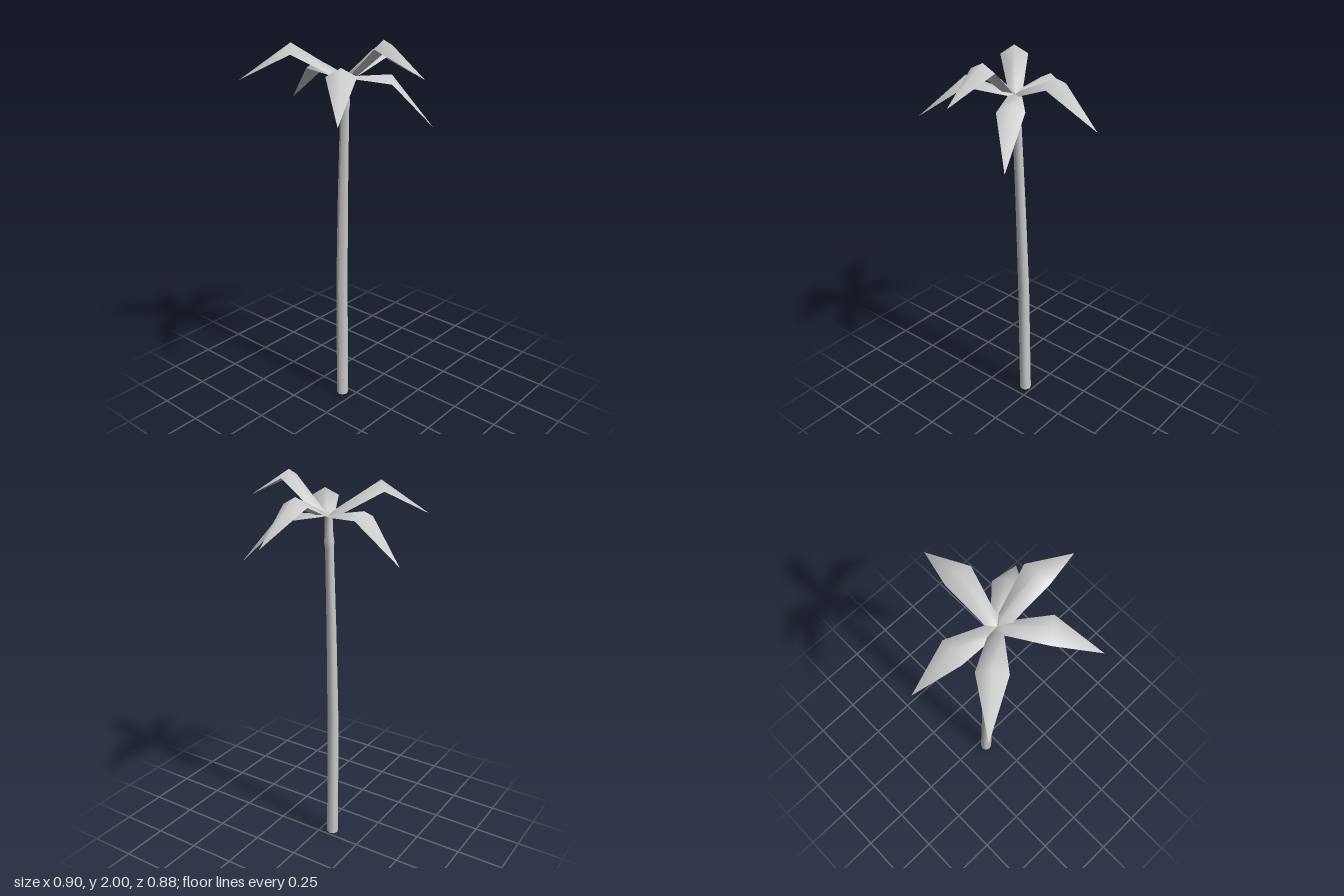
import * as THREE from 'three';

const material = new THREE.MeshStandardMaterial({ color: 0xcccccc });
const leafMaterial = new THREE.MeshStandardMaterial({ color: 0xcccccc, side: THREE.DoubleSide });
const crown = new THREE.Vector3(-0.015, 1.8, 0.062);

// Gently leaning trunk: rings of [y, x, z, radius]
function createTrunk() {
  const rings = [
    [0, -0.067, 0.043, 0.032],
    [0.7, -0.059, 0.05, 0.03],
    [1.2, -0.042, 0.056, 0.026],
    [1.64, -0.023, 0.061, 0.022],
    [1.67, -0.021, 0.062, 0.026],
    [1.71, -0.019, 0.062, 0.022],
    [1.8, -0.016, 0.062, 0.02],
  ];
  const geometry = new THREE.CylinderGeometry(1, 1, 1, 8, rings.length - 1);
  const pos = geometry.attributes.position;
  for (let i = 0; i < pos.count; i++) {
    const [y, x, z, r] = rings[Math.round((pos.getY(i) + 0.5) * (rings.length - 1))];
    pos.setXYZ(i, x + pos.getX(i) * r, y, z + pos.getZ(i) * r);
  }
  geometry.computeVertexNormals();
  const trunk = new THREE.Mesh(geometry, material);
  trunk.name = 'trunk';
  return trunk;
}

// Folded frond: root point, narrow neck, wide ridged bend, pointed tip
function createFrond({ a, b, tip, ridgeY, edgeY }) {
  const left = new THREE.Vector3(a[0], edgeY, a[1]);
  const right = new THREE.Vector3(b[0], edgeY, b[1]);
  const ridge = left.clone().add(right).multiplyScalar(0.5).setY(ridgeY);
  const dir = ridge.clone().sub(crown).setY(0).normalize();
  const side = new THREE.Vector3(-dir.z, 0, dir.x);
  if (side.dot(right.clone().sub(left)) < 0) side.negate();
  const neck = crown.clone().addScaledVector(dir, 0.036);
  const neckRidge = neck.clone().setY(1.8 + (ridgeY - 1.8) * 0.16 + 0.004);
  const points = [
    crown,
    neck.clone().addScaledVector(side, -0.034), neckRidge, neck.clone().addScaledVector(side, 0.034),
    left, ridge, right,
    new THREE.Vector3(...tip),
  ];
  const geometry = new THREE.BufferGeometry().setFromPoints(points);
  geometry.setIndex([
    0, 2, 1, 0, 3, 2,
    1, 2, 5, 1, 5, 4, 2, 3, 6, 2, 6, 5,
    4, 5, 7, 5, 6, 7,
  ]);
  geometry.computeVertexNormals();
  return new THREE.Mesh(geometry, leafMaterial);
}

export function createModel() {
  const model = new THREE.Group();
  model.name = 'palmTree';
  model.add(createTrunk());

  // Fronds: bend edges a and b as [x, z], clockwise seen from above
  const fronds = {
    backFrond: { a: [-0.066, -0.195], b: [0.073, -0.185], tip: [0.025, 1.74, -0.44], ridgeY: 1.93, edgeY: 1.89 },
    backLeftFrond: { a: [0.125, -0.112], b: [0.21, -0.01], tip: [0.34, 1.57, -0.17], ridgeY: 1.82, edgeY: 1.785 },
    leftFrond: { a: [0.21, -0.01], b: [0.215, 0.13], tip: [0.448, 1.85, 0.062], ridgeY: 2.0, edgeY: 1.965 },
    frontLeftFrond: { a: [0.18, 0.205], b: [0.07, 0.295], tip: [0.27, 1.68, 0.438], ridgeY: 1.89, edgeY: 1.85 },
    frontRightFrond: { a: [-0.16, 0.283], b: [-0.253, 0.18], tip: [-0.39, 1.79, 0.402], ridgeY: 1.965, edgeY: 1.92 },
    rightFrond: { a: [-0.245, 0.092], b: [-0.225, -0.045], tip: [-0.45, 1.63, -0.015], ridgeY: 1.855, edgeY: 1.82 },
  };
  const foliage = new THREE.Group();
  foliage.name = 'foliage';
  for (const [name, spec] of Object.entries(fronds)) {
    const frond = createFrond(spec);
    // wind the top faces upwards so both sides light correctly
    if (frond.geometry.attributes.normal.getY(5) < 0) {
      const index = frond.geometry.index;
      for (let i = 0; i < index.count; i += 3) {
        const first = index.getX(i);
        index.setX(i, index.getX(i + 1));
        index.setX(i + 1, first);
      }
      frond.geometry.computeVertexNormals();
    }
    frond.name = name;
    foliage.add(frond);
  }
  model.add(foliage);
  return model;
}
